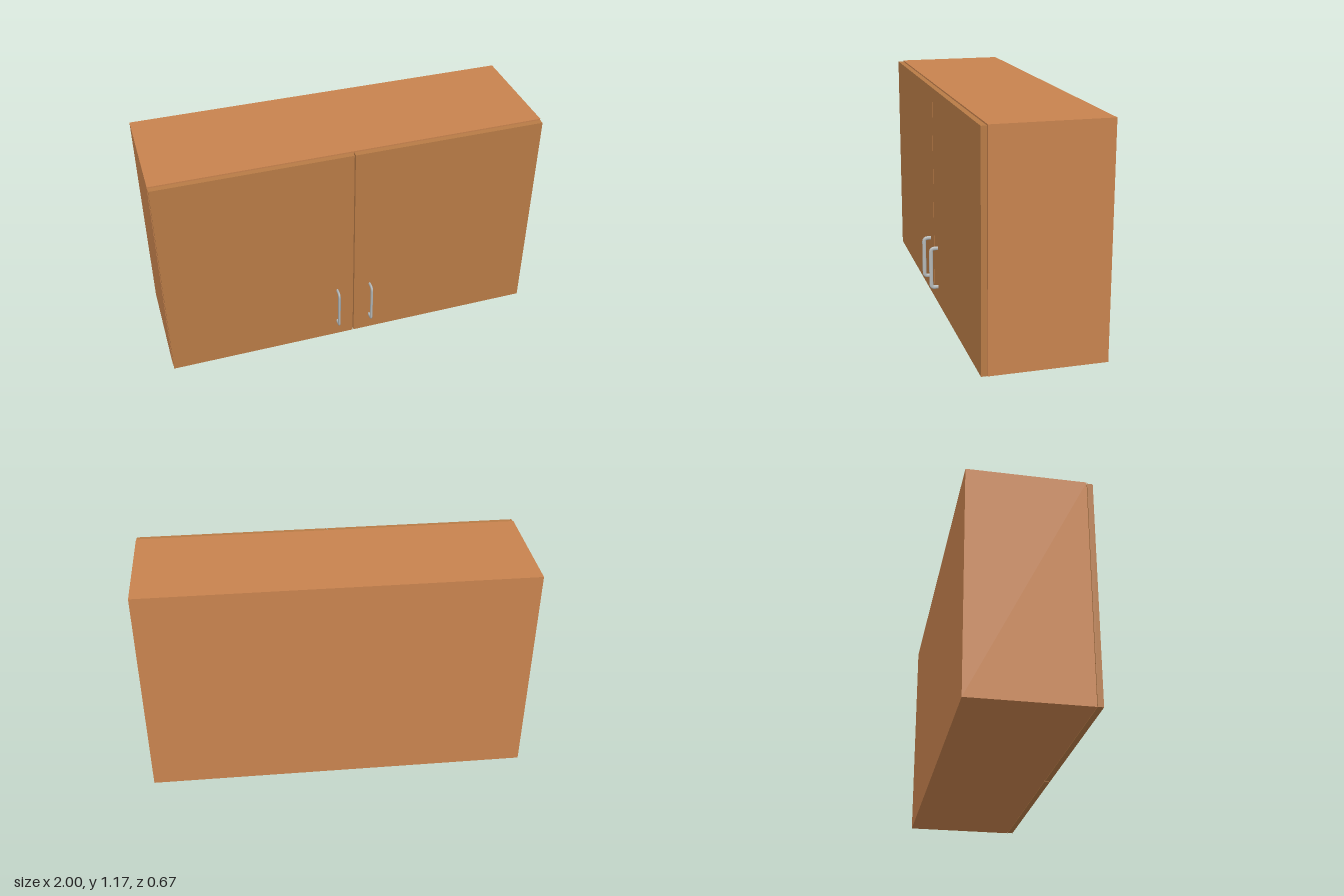
import * as THREE from 'three';

const carcassMat = new THREE.MeshStandardMaterial({ color: 0xc8834e });
const doorMat = new THREE.MeshStandardMaterial({ color: 0xb87b46 });
const metalMat = new THREE.MeshStandardMaterial({ color: 0xb4b8b8 });

const HEIGHT = 1.167, BACK = -0.333, CARCASS_FRONT = 0.253;
const DOOR_BACK = 0.256, DOOR_FRONT = 0.284;

// Box given by its minimum and maximum corners
function panel(name, min, max, material) {
  const size = max.map((v, i) => v - min[i]);
  const mesh = new THREE.Mesh(new THREE.BoxGeometry(...size), material);
  mesh.position.set(...max.map((v, i) => (v + min[i]) / 2));
  mesh.name = name;
  return mesh;
}

// Bow handle: a rounded U swept in the yz plane
function handleGeometry() {
  const low = 0.096, high = 0.315, out = 0.322, bend = 0.02, root = DOOR_FRONT - 0.005;
  const v = (y, z) => new THREE.Vector3(0, y, z);
  const path = new THREE.CurvePath();
  path.add(new THREE.LineCurve3(v(low, root), v(low, out - bend)));
  path.add(new THREE.QuadraticBezierCurve3(v(low, out - bend), v(low, out), v(low + bend, out)));
  path.add(new THREE.LineCurve3(v(low + bend, out), v(high - bend, out)));
  path.add(new THREE.QuadraticBezierCurve3(v(high - bend, out), v(high, out), v(high, out - bend)));
  path.add(new THREE.LineCurve3(v(high, out - bend), v(high, root)));
  const geometry = new THREE.TubeGeometry(path, 80, 0.0105, 16);
  geometry.scale(0.6, 1, 1); // oval bar, thinner across the door
  return geometry;
}

export function createModel() {
  const model = new THREE.Group();
  model.name = 'wallCabinet';

  // Cabinet body
  model.add(panel('carcass', [-1, 0, BACK], [1, HEIGHT, CARCASS_FRONT], carcassMat));

  // Pair of doors with a narrow gap between, each with its handle
  const handleShape = handleGeometry();
  for (const side of [-1, 1]) {
    const label = side > 0 ? 'left' : 'right';
    const inner = side * 0.003, outer = side * 0.998;
    model.add(panel(label + 'Door',
      [Math.min(inner, outer), 0.001, DOOR_BACK],
      [Math.max(inner, outer), 1.162, DOOR_FRONT], doorMat));

    const handle = new THREE.Mesh(handleShape, metalMat);
    handle.name = label + 'Handle';
    handle.position.x = side * 0.091;
    model.add(handle);
  }
  return model;
}
